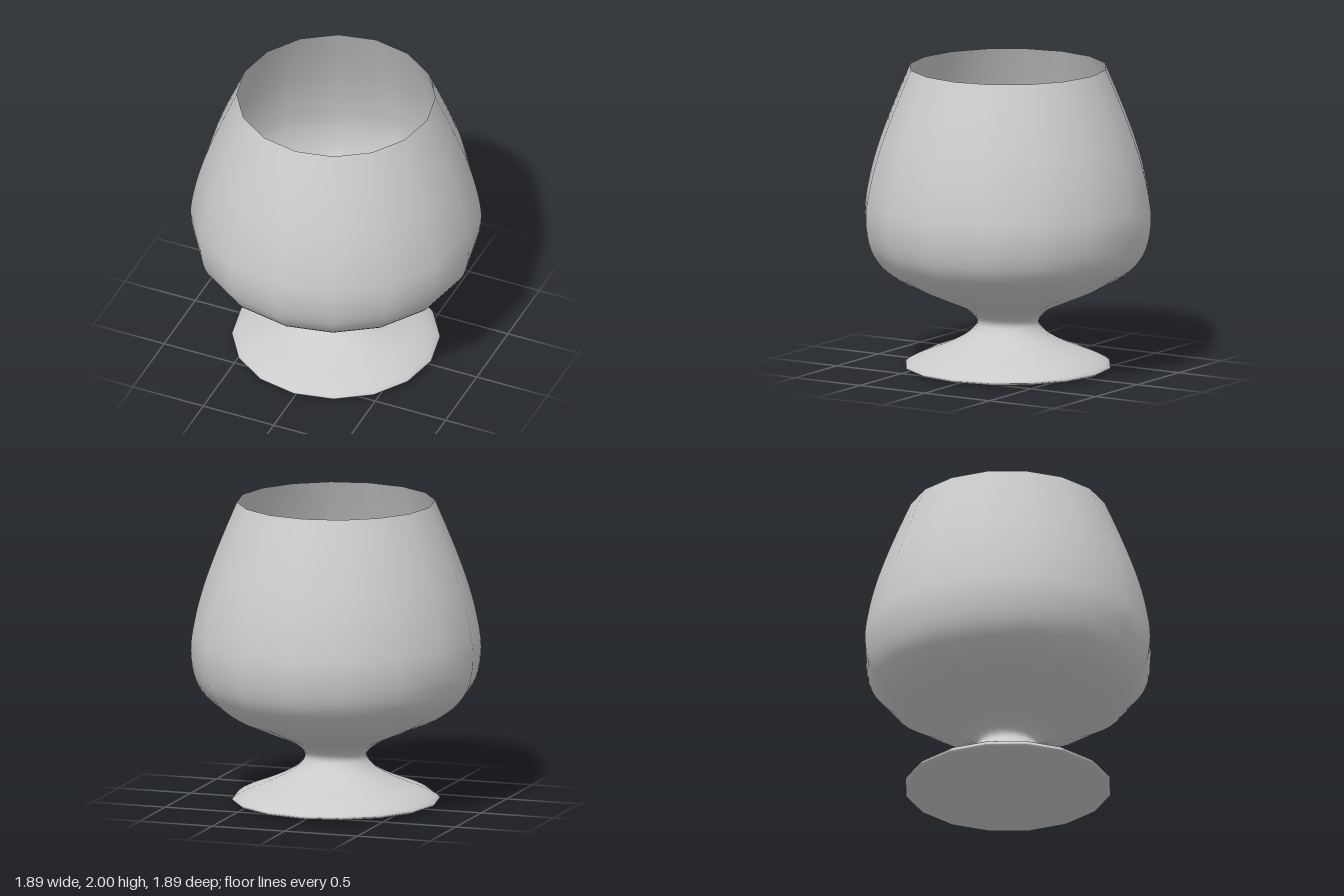
import * as THREE from 'three';

const SIDES = 16;

export function createModel() {
  const group = new THREE.Group();
  group.name = 'goblet';
  const material = new THREE.MeshStandardMaterial({ color: 0xcccccc, side: THREE.DoubleSide });

  // Half outline (radius, height): foot rim, waist, bowl, open top
  const outline = [
    [0.62, 0.008], [0.662, 0.018], [0.677, 0.032], [0.65, 0.058], [0.57, 0.1], [0.44, 0.15],
    [0.33, 0.2], [0.245, 0.255], [0.2, 0.325], [0.265, 0.4], [0.46, 0.49],
    [0.68, 0.59], [0.83, 0.7], [0.91, 0.82], [0.945, 1.02], [0.92, 1.22],
    [0.87, 1.42], [0.805, 1.61], [0.73, 1.8], [0.645, 2],
  ].map(([r, y]) => new THREE.Vector3(r, y, 0));

  // The thin wall runs from the centre of the underside up to the rim
  const wall = new THREE.CatmullRomCurve3(outline, false, 'centripetal').getPoints(76);
  const profile = [
    new THREE.Vector2(0, 0), new THREE.Vector2(0.6, 0.004),
    ...wall.map((p) => new THREE.Vector2(p.x, p.y)),
  ];
  const glass = new THREE.Mesh(new THREE.LatheGeometry(profile, SIDES), material);
  glass.name = 'bowlStemAndFoot';
  group.add(glass);

  return group;
}
